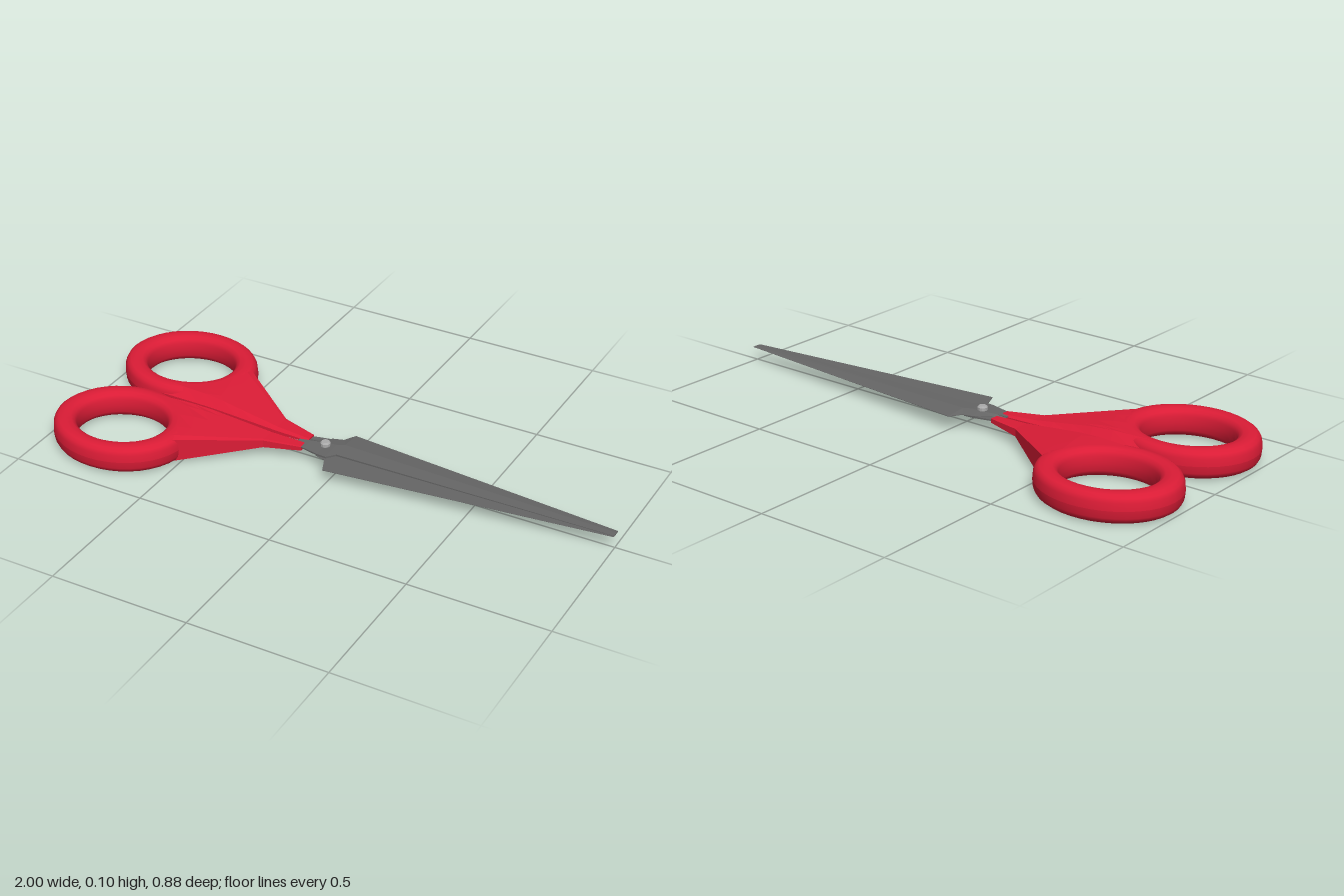
import * as THREE from 'three';

const red = new THREE.MeshStandardMaterial({ color: 0xdc1c36 });
const redFlat = new THREE.MeshStandardMaterial({ color: 0xdc1c36, flatShading: true, side: THREE.DoubleSide });
const steel = new THREE.MeshStandardMaterial({ color: 0x666666, flatShading: true });
const rivetMetal = new THREE.MeshStandardMaterial({ color: 0xaaaaaa, flatShading: true });

// Skin closed cross-sections (counter-clockwise seen from +x, ordered towards +x)
function loft(rows, capStart) {
  const pos = [];
  const tri = (...pts) => pts.forEach(p => pos.push(...p));
  const n = rows[0].length;
  for (let j = 0; j < rows.length - 1; j++) {
    for (let k = 0; k < n; k++) {
      const a = rows[j][k], b = rows[j][(k + 1) % n];
      const c = rows[j + 1][(k + 1) % n], d = rows[j + 1][k];
      tri(a, b, c);
      tri(a, c, d);
    }
  }
  const first = rows[0], last = rows[rows.length - 1];
  for (let k = 1; k < n - 1; k++) {
    if (capStart) tri(first[0], first[k + 1], first[k]);
    tri(last[0], last[k], last[k + 1]);
  }
  const g = new THREE.BufferGeometry();
  g.setAttribute('position', new THREE.Float32BufferAttribute(pos, 3));
  g.computeVertexNormals();
  return g;
}

// Oval finger ring with a rounded-rectangle section
function ringGeometry() {
  const profile = [];
  const round = v => Math.sign(v) * Math.abs(v) ** 0.72;
  for (let i = 0; i <= 16; i++) {
    const a = (i % 16) / 16 * Math.PI * 2;
    profile.push(new THREE.Vector2(0.206 + 0.044 * round(Math.cos(a)), 0.05 * round(Math.sin(a))));
  }
  return new THREE.LatheGeometry(profile, 40).scale(1, 1, 0.865).translate(-0.75, 0, 0.225);
}

// Half height of the shank along its length
function halfHeight(x) {
  if (x < -0.54) return 0.05;
  if (x < -0.27) return THREE.MathUtils.mapLinear(x, -0.54, -0.27, 0.05, 0.015);
  return THREE.MathUtils.mapLinear(x, -0.27, -0.14, 0.015, 0.008);
}

// Shank: lines running from the ring's arc to the narrow neck
function shankGeometry() {
  const arc = deg => {
    const a = THREE.MathUtils.degToRad(deg);
    return [-0.75 + 0.206 * Math.cos(a), 0.225 + 0.178 * Math.sin(a)];
  };
  // start point, z at the waist, z at the neck, height factor
  const lines = [
    [[-0.75, 0.011], 0.007, 0.006, 0.4],
    [arc(-85), 0.02, 0.014, 1],
    [arc(-60), 0.03, 0.02, 1],
    [arc(-35), 0.042, 0.027, 1],
    [arc(-10), 0.056, 0.034, 1],
    [arc(10), 0.07, 0.04, 1],
    [[-0.55, 0.287], 0.08, 0.045, 0.9],
  ];
  const rows = [];
  for (let j = 0; j <= 7; j++) {
    const t = Math.min(j / 6, 1);
    const points = lines.map(([[x0, z0], zWaist, zNeck, f]) => {
      const x = j === 7 ? -0.14 : THREE.MathUtils.lerp(x0, -0.27, t);
      const z = j === 7 ? zNeck : THREE.MathUtils.lerp(z0, zWaist, t);
      return [x, f * halfHeight(x), z];
    });
    rows.push([...points, ...points.map(([x, y, z]) => [x, -y, z]).reverse()]);
  }
  return loft(rows, false);
}

// Blade with its tang: flat on the meeting side, ridged on the other
function bladeGeometry(width) {
  // x, outer z, inner z, thickness
  const stations = [
    [-0.17, 0, 0.034, 0.005],
    [-0.13, -0.02, 0.045, 0.007],
    [-0.07, -0.06, 0.058, 0.008],
    [-0.035, -0.07, 0.06, 0.009],
    [-0.01, -width, 0.03, 0.009],
    [1, -0.019, 0.014, 0.002],
  ];
  return loft(stations.map(([x, outer, inner, t]) => [
    [x, 0, outer],
    [x, t * 0.2, outer],
    [x, t, outer * 0.3],
    [x, t * 0.7, inner],
    [x, 0, inner],
  ]), true);
}

export function createModel() {
  const model = new THREE.Group();
  const add = (parent, name, geometry, material) => {
    const mesh = new THREE.Mesh(geometry, material);
    mesh.name = name;
    parent.add(mesh);
    return mesh;
  };

  // Two halves, the second turned over about the long axis
  [['left', 0, 0.112], ['right', Math.PI, 0.128]].forEach(([side, turn, width]) => {
    const handle = new THREE.Group();
    handle.name = side + 'Handle';
    handle.position.y = 0.05;
    handle.rotation.x = turn;
    add(handle, 'fingerRing', ringGeometry(), red);
    add(handle, 'shank', shankGeometry(), redFlat);
    model.add(handle);

    const blade = add(model, side + 'Blade', bladeGeometry(width), steel);
    blade.position.y = 0.0525;
    blade.rotation.x = turn;
  });

  // Pivot rivet with a chamfered head
  const head = [[0, 0.045], [0.016, 0.045], [0.018, 0.062], [0.018, 0.071], [0.013, 0.076], [0, 0.076]]
    .map(([r, y]) => new THREE.Vector2(r, y));
  add(model, 'pivotRivet', new THREE.LatheGeometry(head, 12), rivetMetal).position.set(-0.07, 0, -0.003);

  return model;
}
